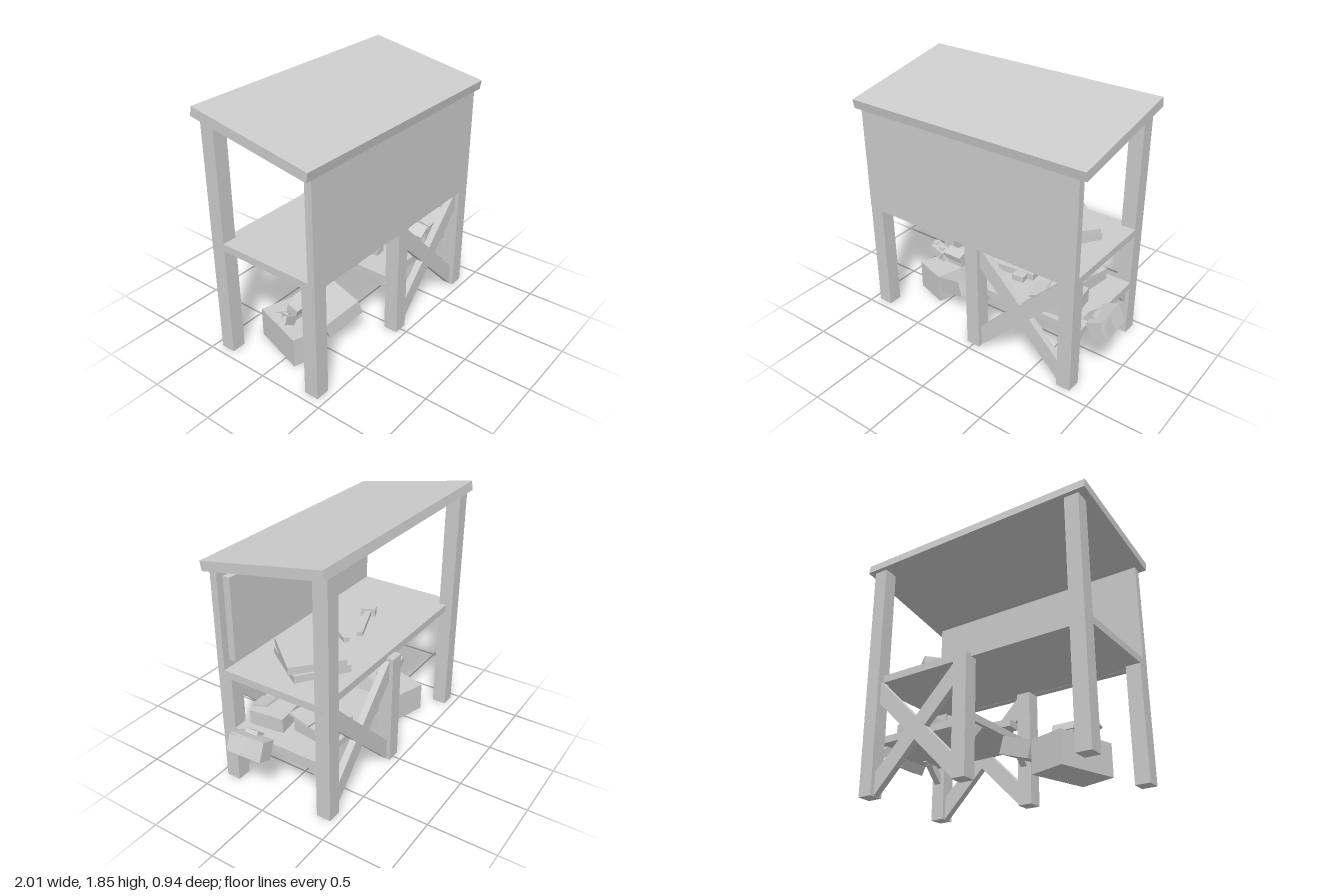
import * as THREE from 'three';

export function createModel() {
  const model = new THREE.Group();
  const mat = new THREE.MeshStandardMaterial({ color: 0xcccccc, flatShading: true });

  // Box from size and centre; rotations are roll about z, then pitch x, then yaw y
  function box(name, size, pos, rot = [0, 0, 0], parent = model) {
    const m = new THREE.Mesh(new THREE.BoxGeometry(...size), mat);
    m.name = name;
    m.position.set(...pos);
    m.rotation.set(rot[0], rot[1], rot[2], 'YXZ');
    parent.add(m);
    return m;
  }
  function group(name, pos, rot = [0, 0, 0]) {
    const g = new THREE.Group();
    g.name = name;
    g.position.set(...pos);
    g.rotation.set(rot[0], rot[1], rot[2], 'YXZ');
    model.add(g);
    return g;
  }

  // Posts: three in front, three behind; the outer back ones reach the roof
  const postX = [-0.89, 0, 0.78];
  for (const x of postX) {
    box('frontPost', [0.108, 0.86, 0.108], [x, 0.43, 0.392]);
    const h = x === 0 ? 0.86 : 1.77;
    box('backPost', [0.108, h, 0.108], [x, h / 2, -0.392]);
  }

  // Sloping roof
  box('roof', [1.89, 0.068, 0.938], [-0.055, 1.735, 0.004], [0.177, 0, 0]);

  // Front wall with the board fixed behind it
  box('frontWall', [1.78, 0.795, 0.054], [-0.055, 1.237, 0.42]);
  box('innerBoard', [1.28, 0.61, 0.056], [0.14, 1.255, 0.367]);

  // Counter and lower shelf
  box('counter', [1.78, 0.055, 0.785], [-0.055, 0.868, 0]);
  box('lowerShelf', [0.888, 0.052, 0.68], [0.39, 0.423, 0]);

  // Crossed braces and shelf brackets, front and back
  for (const s of [1, -1]) {
    for (const a of [1, -1]) {
      box('crossBrace', [1.08, 0.116, 0.052 + a * 0.001], [0.39, 0.42, s * 0.39], [0, 0, a * Math.PI / 4]);
    }
    for (const x of [0, 0.78]) {
      box('shelfBracket', [0.05, 0.05, 0.17], [x, 0.35, s * 0.29], [s * 0.8, 0, 0]);
    }
  }

  // Two flat cases stacked on the counter
  const cases = [[0.43, 0.922, -0.03, -0.6], [0.435, 0.978, -0.02, -0.71]];
  for (const [x, y, z, yaw] of cases) {
    const g = group('flatCase', [x, y, z], [0, yaw, 0]);
    box('caseBody', [0.4, 0.054, 0.42], [0, 0, 0], [0, 0, 0], g);
    box('caseClasp', [0.08, 0.04, 0.02], [0.1, 0, 0.212], [0, 0, 0], g);
  }

  // Two hammers: handle from a to b, head at b
  const hammers = [[[0.08, -0.08], [-0.09, 0.18]], [[-0.04, -0.11], [-0.37, 0.02]]];
  for (const [a, b] of hammers) {
    const dx = b[0] - a[0], dz = b[1] - a[1], len = Math.hypot(dx, dz);
    const g = group('hammer', [a[0], 0.92, a[1]], [0, Math.atan2(-dz, dx), 0]);
    box('hammerHandle', [len, 0.035, 0.045], [len / 2, 0, 0], [0, 0, 0], g);
    box('hammerHead', [0.05, 0.06, 0.11], [len, 0.005, 0], [0, 0, 0], g);
  }

  // Goods on the lower shelf
  box('shelfBar', [0.36, 0.05, 0.11], [0.07, 0.475, 0.02], [0, 0.1, 0]);
  box('shelfBarBlock', [0.09, 0.045, 0.08], [0.165, 0.475, 0.09], [0, 0.1, 0]);
  box('shelfBoxFront', [0.24, 0.11, 0.26], [0.6, 0.505, 0.17], [0, 0.12, 0]);
  box('shelfBoxBack', [0.3, 0.09, 0.27], [0.5, 0.495, -0.17], [0, -0.15, 0]);
  box('looseBoardFront', [0.12, 0.018, 0.15], [0.45, 0.575, 0.25], [0.2, 0.2, 0.4]);
  box('looseBoardUpper', [0.14, 0.018, 0.13], [0.62, 0.585, 0.24], [0.25, 0.1, 0.1]);
  box('looseBoardBack', [0.12, 0.018, 0.17], [0.6, 0.565, -0.08], [-0.2, -0.1, 0.1]);

  // Tilted pack hanging off the end of the shelf
  const pack = group('hangingPack', [0.91, 0.43, 0.14], [0, 0.06, 0.4]);
  box('packBody', [0.125, 0.14, 0.26], [0, 0, 0], [0, 0, 0], pack);
  box('packPocket', [0.03, 0.11, 0.13], [0.056, 0, 0.07], [0, 0.15, 0], pack);
  box('packStrap', [0.16, 0.03, 0.1], [-0.1, 0.06, 0.03], [0, 0, 0.3], pack);

  // Chest on the ground with a slab leaning on it
  box('chest', [0.27, 0.225, 0.44], [-0.605, 0.1125, -0.06], [0, -0.3, 0]);
  box('leaningSlab', [0.3, 0.12, 0.44], [-0.33, 0.22, 0.02], [0, -0.3, 0.35]);

  // Hand tool lying on the chest
  box('toolBody', [0.16, 0.055, 0.09], [-0.56, 0.315, -0.04], [0.3, 0, 0]);
  box('toolBase', [0.15, 0.07, 0.07], [-0.56, 0.26, -0.06]);
  box('toolGrip', [0.13, 0.045, 0.06], [-0.7, 0.275, -0.03], [0, 0.1, -0.75]);
  box('toolHead', [0.12, 0.06, 0.1], [-0.725, 0.305, -0.03], [0, 0.1, -0.5]);
  for (const dx of [-0.035, 0.025]) {
    box('toolKnob', [0.035, 0.03, 0.04], [-0.725 + dx, 0.335 - dx * 0.5, -0.03], [0, 0.1, -0.5]);
  }

  return model;
}
